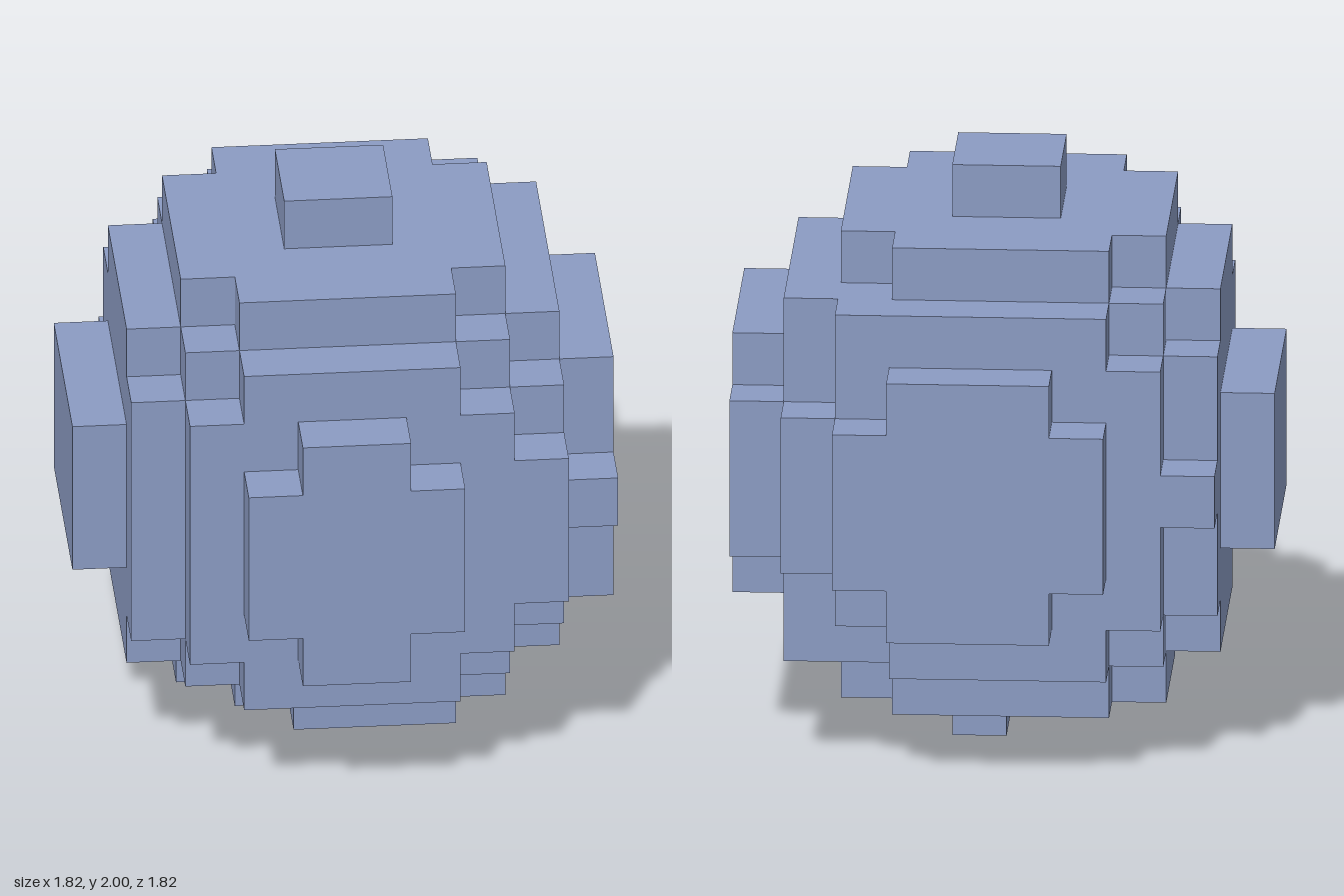
import * as THREE from 'three';

// One block is 1/11 of the total height; the ball is 10 x 11 x 10 blocks.
const U = 2 / 11;

export function createModel() {
  const model = new THREE.Group();
  model.name = 'blockBall';
  const slateBlue = new THREE.MeshStandardMaterial({ color: 0x8b9bc3 });
  slateBlue.name = 'slateBlue';

  // Each part is a set of boxes in block units: x0, x1, y0, y1, z0, z1
  const addPart = (name, boxes) => {
    const part = new THREE.Group();
    part.name = name;
    for (const [x0, x1, y0, y1, z0, z1] of boxes) {
      const geo = new THREE.BoxGeometry((x1 - x0) * U, (y1 - y0) * U, (z1 - z0) * U);
      const mesh = new THREE.Mesh(geo, slateBlue);
      mesh.name = name + 'Block';
      mesh.position.set(((x0 + x1) / 2) * U, ((y0 + y1) / 2) * U, ((z0 + z1) / 2) * U);
      part.add(mesh);
    }
    model.add(part);
  };

  addPart('core', [[-3, 3, 2, 9, -3, 3]]);

  // Stepped crown and base
  addPart('crown', [
    [-2, 2, 9, 10, -3, 3],
    [-3, -2, 9, 10, -2, 2],
    [2, 3, 9, 10, -2, 2],
    [-1, 1, 10, 11, -1, 1],
  ]);
  addPart('base', [
    [-2, 2, 1, 2, -3, 2],
    [-1, 2, 1, 2, 2, 3],
    [-3, -2, 1, 2, -2, 1],
    [2, 3, 1, 2, -2, 2],
    [0, 1, 0, 1, -1, 1],
  ]);

  // Slabs one block proud of the core
  addPart('frontSlab', [
    [-2, 2, 2, 9, 3, 4],
    [-3, -2, 3, 8, 3, 4],
    [2, 3, 3, 8, 3, 4],
  ]);
  addPart('backSlab', [
    [-2, 2, 2, 9, -4, -3],
    [-3, -2, 3, 8, -4, -3],
    [2, 3, 3, 9, -4, -3],
  ]);
  addPart('leftSlab', [
    [3, 4, 2, 9, -3, 2],
    [3, 4, 3, 8, 2, 3],
  ]);
  addPart('rightSlab', [
    [-4, -3, 2, 9, -2, 2],
    [-4, -3, 3, 8, -3, -2],
    [-4, -3, 3, 8, 2, 3],
  ]);

  // Upright corner pieces
  addPart('cornerPosts', [
    [3, 4, 4, 7, 3, 4],
    [3, 4, 4, 7, -4, -3],
    [-4, -3, 5, 6, -4, -3],
  ]);

  // Outermost plates
  addPart('frontPlate', [
    [-1, 1, 3, 8, 4, 5],
    [-2, -1, 4, 7, 4, 5],
    [1, 2, 4, 7, 4, 5],
  ]);
  addPart('backPlate', [
    [-1, 2, 3, 8, -5, -4],
    [-2, -1, 4, 7, -5, -4],
    [2, 3, 4, 7, -5, -4],
  ]);
  addPart('leftPlate', [
    [4, 5, 3, 8, -2, 2],
    [4, 5, 4, 7, -3, -2],
    [4, 5, 5, 6, 2, 3],
  ]);
  addPart('rightPlate', [[-5, -4, 4, 7, -2, 2]]);

  return model;
}
